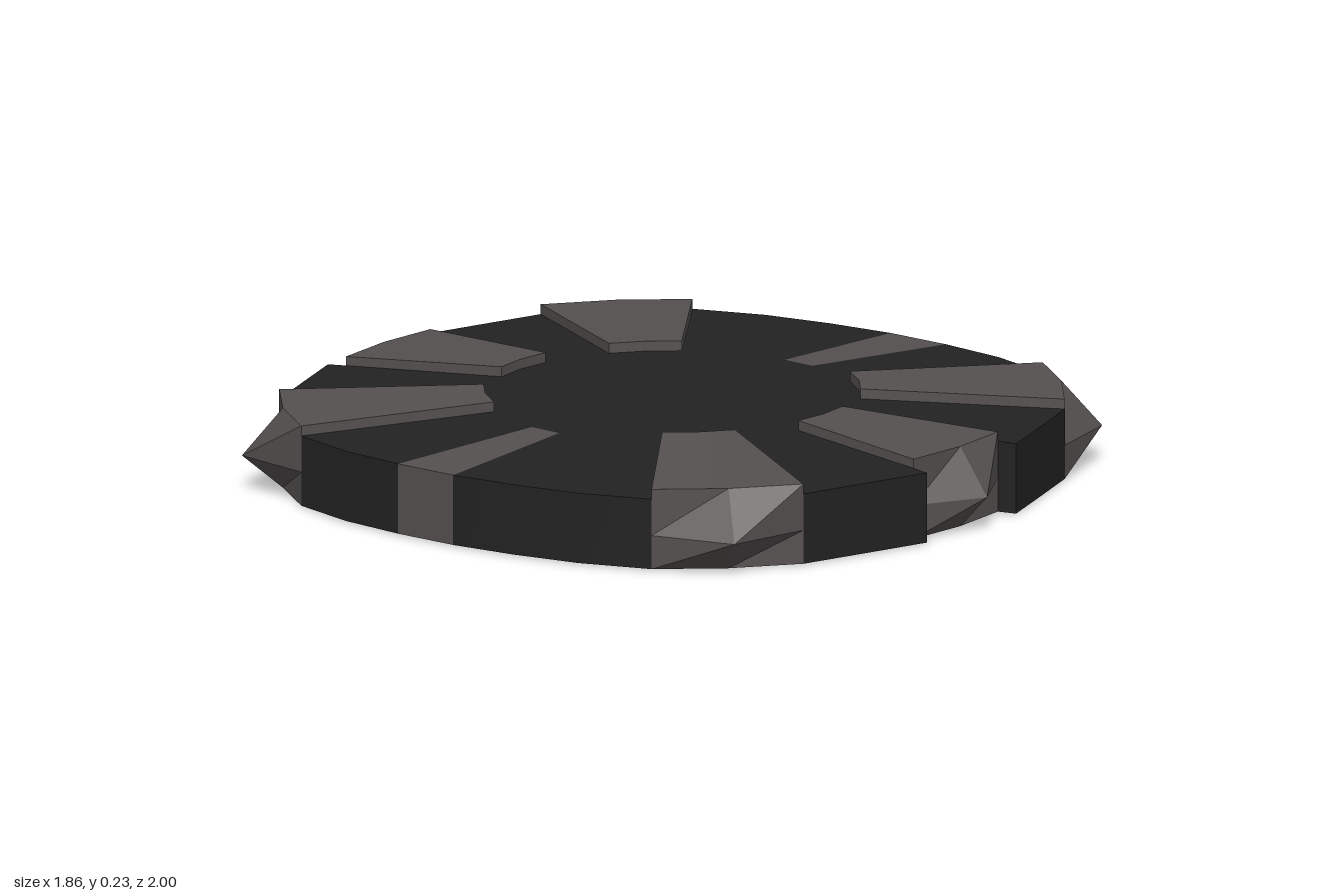
import * as THREE from 'three';
import { toCreasedNormals } from 'three/addons/utils/BufferGeometryUtils.js';

const STEP = Math.PI / 16; // the disc is divided into 32 equal angles
const dark = new THREE.MeshStandardMaterial({ color: 0x222222 });
const grey = new THREE.MeshStandardMaterial({ color: 0x555050 });
const INNER = 0.48, BASE = 0.004;

// Closed wedge lofted through radial [r, y] profiles, one per angle step
function wedge(start, profiles) {
  const rings = profiles.map((profile, k) => {
    const a = (start + k) * STEP;
    return profile.map(([r, y]) => [r * Math.cos(a), y, r * Math.sin(a)]);
  });
  const pos = [];
  const tri = (a, b, c) => pos.push(...a, ...b, ...c);
  const n = rings[0].length;
  for (let k = 0; k < rings.length - 1; k++) {
    const p = rings[k], q = rings[k + 1];
    for (let i = 0; i < n; i++) {
      const j = (i + 1) % n;
      tri(p[i], q[i], q[j]);
      tri(p[i], q[j], p[j]);
    }
  }
  const first = rings[0], last = rings[rings.length - 1];
  for (let i = 1; i < n - 1; i++) {
    tri(first[0], first[i], first[i + 1]);
    tri(last[0], last[i + 1], last[i]);
  }
  const geo = new THREE.BufferGeometry();
  geo.setAttribute('position', new THREE.Float32BufferAttribute(pos, 3));
  return toCreasedNormals(geo, 0.4);
}

// Rim radius for steps 0..8 of a quarter, mirrored around the disc
const RIM = [0.93, 0.937, 0.965, 1, 1, 1, 0.966, 0.969, 0.93];
function rim(step) {
  const s = ((step % 16) + 16) % 16;
  return RIM[s > 8 ? 16 - s : s];
}

// Flush rim segment and raised pad with a pointed outer face
const flush = r => [[INNER, 0.207], [r, 0.187], [r, BASE], [INNER, BASE]];
const raised = (r, tip) =>
  [[INNER, 0.233], [r, 0.213], [tip, 0.092], [r, BASE], [INNER, BASE]];

export function createModel() {
  const model = new THREE.Group();
  const add = (name, geo, mat, y = 0) => {
    const mesh = new THREE.Mesh(geo, mat);
    mesh.name = name;
    mesh.position.y = y;
    model.add(mesh);
  };
  const addFlush = (name, from, to, mat) => {
    const profiles = [];
    for (let s = from; s <= to; s++) profiles.push(flush(rim(s)));
    add(name, wedge(from, profiles), mat);
  };

  // Round underside plate and flat centre
  add('basePlate', new THREE.CylinderGeometry(0.9, 0.9, 0.1, 32), grey, 0.05);
  add('centrePlate', new THREE.CylinderGeometry(INNER, INNER, 0.107, 32), dark, 0.1535);

  // Dark rim segments between the pads
  for (const half of [0, 16]) {
    addFlush('rimSegment', half - 3, half, dark);
    addFlush('rimSegment', half + 1, half + 3, dark);
    addFlush('rimSegment', half + 5, half + 7, dark);
    addFlush('rimSegment', half + 9, half + 11, dark);
    // Narrow inlaid stripe on each side
    addFlush('sideStripe', half, half + 1, grey);
  }

  // Raised pads: four corners, then front and back
  for (const mid of [4, 12, 20, 28]) {
    add('cornerPad', wedge(mid - 1, [raised(1, 1), raised(1, 1.105), raised(1, 1)]), grey);
  }
  for (const mid of [8, 24]) {
    add('endPad', wedge(mid - 1, [raised(0.918, 0.918), raised(0.915, 1), raised(0.918, 0.918)]), grey);
  }
  return model;
}
